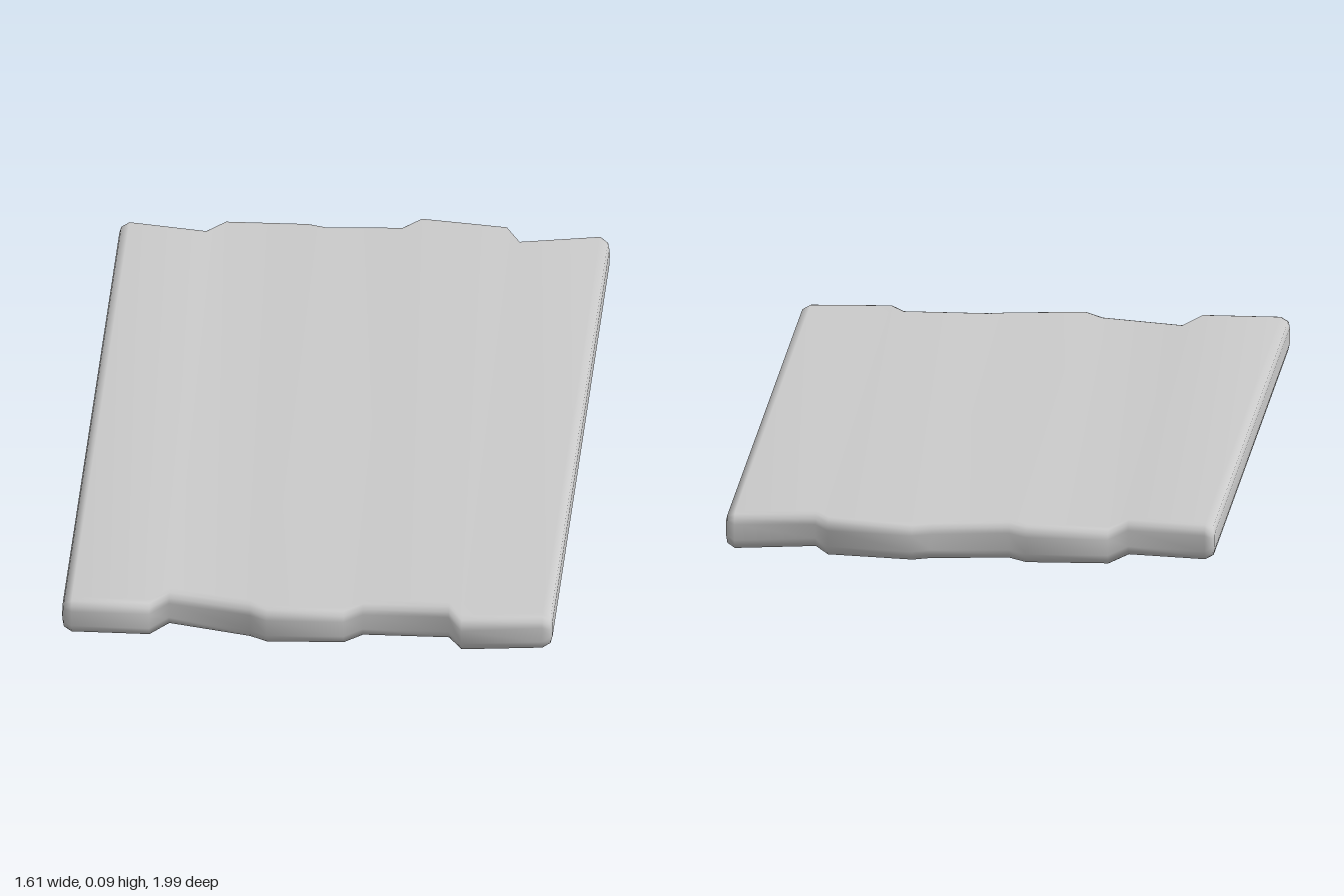
import * as THREE from 'three';

// Stations across the width: [u, back end, front end, top, bottom]
const stations = [
  // rounded left edge
  [-0.552, -0.835, 0.835, 0.072, 0.034],
  [-0.548, -0.845, 0.85, 0.086, 0.018],
  [-0.53, -0.852, 0.856, 0.095, 0.009],
  // plank 1 to plank 2
  [-0.355, -0.826, 0.853, 0.095, 0.008],
  [-0.315, -0.883, 0.79, 0.088, 0.002],
  // plank 2 to plank 3
  [-0.13, -0.885, 0.83, 0.089, 0.0],
  [-0.09, -0.867, 0.858, 0.093, 0.004],
  // plank 3 to plank 4
  [0.083, -0.883, 0.846, 0.09, 0.003],
  [0.124, -0.918, 0.818, 0.095, 0.008],
  // plank 4 to plank 5
  [0.317, -0.895, 0.815, 0.095, 0.008],
  [0.35, -0.838, 0.869, 0.092, 0.01],
  // rounded right edge
  [0.53, -0.869, 0.846, 0.095, 0.009],
  [0.548, -0.858, 0.838, 0.086, 0.018],
  [0.552, -0.842, 0.828, 0.072, 0.034],
];

// Lengthwise section of a plank: a rectangle with rounded ends
function section([u, back, front, top, bottom]) {
  const r = Math.min(0.025, (top - bottom) * 0.35), steps = 3, pts = [];
  const corners = [
    [back + r, top - r, Math.PI],
    [front - r, top - r, Math.PI / 2],
    [front - r, bottom + r, 0],
    [back + r, bottom + r, -Math.PI / 2],
  ];
  for (const [z, y, start] of corners) {
    for (let i = 0; i <= steps; i++) {
      const a = start - (i / steps) * Math.PI / 2;
      pts.push([u, y + r * Math.sin(a), z + r * Math.cos(a)]);
    }
  }
  return pts;
}

// Join neighbouring sections into one closed skin
function loft(rings) {
  const n = rings[0].length, last = rings.length - 1;
  const index = [];
  for (let i = 0; i < last; i++) {
    for (let j = 0; j < n; j++) {
      const k = (j + 1) % n;
      const a = i * n + j, b = i * n + k, c = b + n, d = a + n;
      index.push(a, b, c, a, c, d);
    }
  }
  for (let j = 1; j < n - 1; j++) {
    index.push(0, j + 1, j);
    index.push(last * n, last * n + j, last * n + j + 1);
  }
  const geo = new THREE.BufferGeometry();
  geo.setAttribute('position', new THREE.Float32BufferAttribute(rings.flat(2), 3));
  geo.setIndex(index);
  geo.computeVertexNormals();
  return geo;
}

export function createModel() {
  const group = new THREE.Group();
  group.name = 'plankPanel';
  const material = new THREE.MeshStandardMaterial({ color: 0xcccccc });
  const planks = new THREE.Mesh(loft(stations.map(section)), material);
  planks.name = 'joinedPlanks';
  // The panel lies turned on the ground
  planks.rotation.y = 0.353;
  group.add(planks);
  return group;
}
